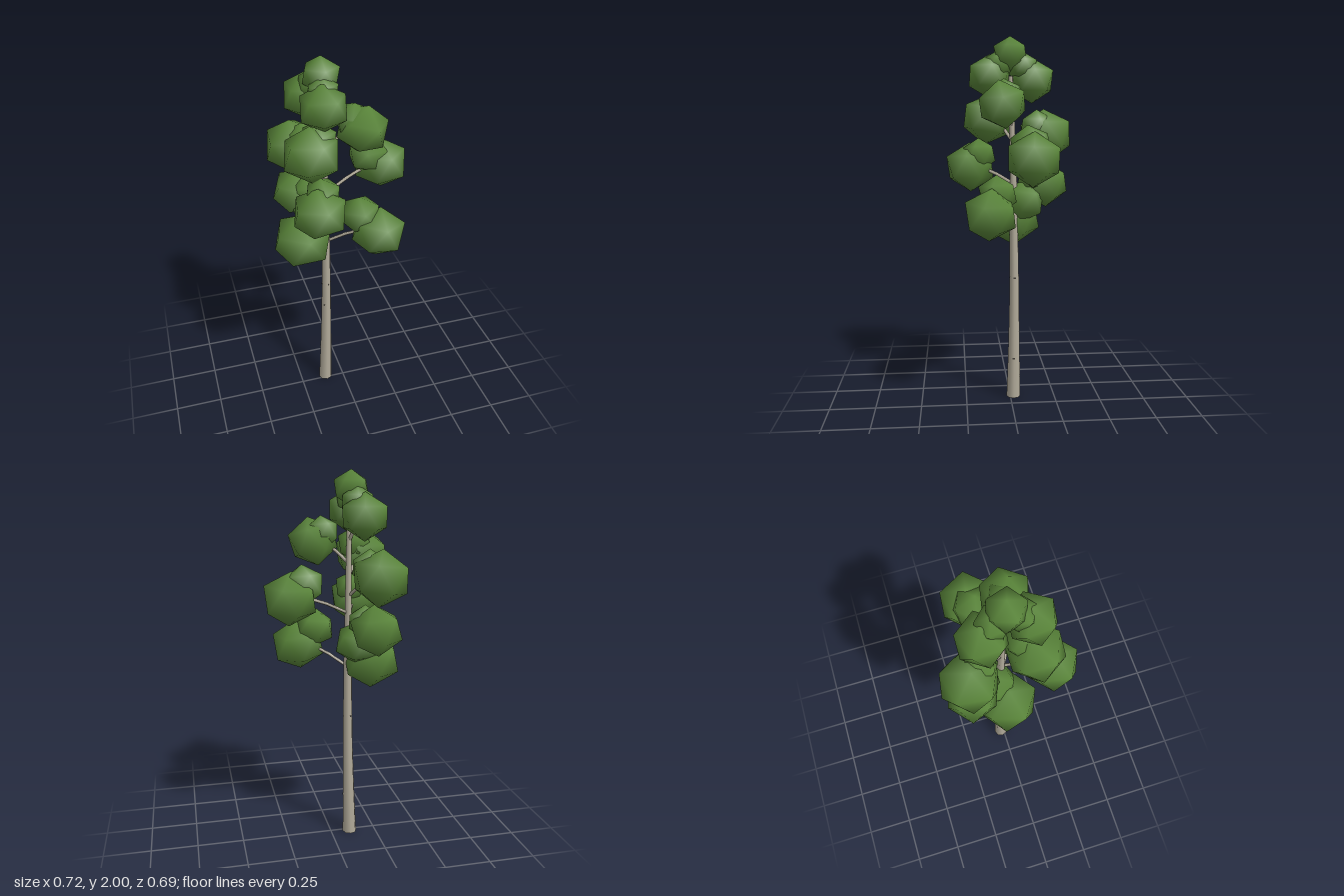
import * as THREE from 'three';

// Trunk as [height, x, z, radius]
const TRUNK = [
  [0, -0.105, -0.018, 0.039], [0.25, -0.098, -0.02, 0.033], [0.5, -0.092, -0.021, 0.028],
  [0.75, -0.089, -0.021, 0.025], [1.0, -0.088, -0.018, 0.022], [1.25, -0.09, -0.016, 0.019],
  [1.5, -0.092, -0.01, 0.016], [1.79, -0.095, -0.002, 0.011],
];

function trunkAt(y) {
  let i = 0;
  while (i < TRUNK.length - 2 && y > TRUNK[i + 1][0]) i++;
  const a = TRUNK[i], b = TRUNK[i + 1];
  const t = (y - a[0]) / (b[0] - a[0]);
  return a.map((v, k) => v + (b[k] - v) * t);
}

// Clump at the top of the trunk as [x, y, z, radius, tilt]
const CROWN = [-0.105, 1.905, 0, 0.088, 0];

// Each branch: height on the trunk, outer clump, smaller inner clump
const BRANCHES = [
  [0.98, [0.155, 1.085, 0.122, 0.132, -0.1], [0.07, 1.18, 0.08, 0.097, 0.1]],
  [0.95, [-0.215, 1.015, -0.02, 0.148, 0.05], [-0.13, 1.12, -0.07, 0.112, -0.1]],
  [1.1, [-0.192, 1.21, -0.195, 0.127, 0.1], [-0.15, 1.245, -0.13, 0.085, 0]],
  [1.22, [-0.18, 1.305, 0.215, 0.128, -0.1], [-0.15, 1.375, 0.165, 0.085, 0.1]],
  [1.27, [0.23, 1.37, -0.09, 0.133, 0.1], [0.16, 1.435, -0.08, 0.1, 0.1]],
  [1.36, [-0.208, 1.475, -0.205, 0.139, 0.1], [-0.165, 1.525, -0.15, 0.088, 0]],
  [1.45, [-0.19, 1.565, 0.115, 0.133, -0.1], [-0.145, 1.62, 0.075, 0.088, 0]],
  [1.53, [0.083, 1.64, 0.055, 0.12, 0.2], [0.04, 1.685, 0.035, 0.083, 0.1]],
  [1.64, [-0.145, 1.77, -0.12, 0.115, 0], [-0.12, 1.84, -0.065, 0.078, 0]],
  [1.67, [-0.125, 1.79, 0.11, 0.11, 0.05], [-0.115, 1.85, 0.06, 0.074, 0]],
];

// Bark marks as [height, angle around the trunk, width]
const MARKS = [
  [0.235, 1.5, 0.4], [0.235, 4.4, 0.4], [0.56, -0.7, 0.3], [0.7, 1.6, 0.5],
  [0.7, -1.5, 0.5], [0.705, 3.6, 0.4], [0.7, 0.2, 0.3],
];

export function createModel() {
  const bark = new THREE.MeshStandardMaterial({ color: 0xb4ad9c });
  bark.name = 'pale bark';
  const dark = new THREE.MeshStandardMaterial({ color: 0x45413a });
  dark.name = 'dark bark';
  const leaf = new THREE.MeshStandardMaterial({ color: 0x5a863a });
  leaf.name = 'leaf green';

  const tree = new THREE.Group();
  tree.name = 'tree';
  const add = (geometry, material, name) => {
    const mesh = new THREE.Mesh(geometry, material);
    mesh.name = name;
    tree.add(mesh);
    return mesh;
  };

  // Tapering, slightly bent trunk
  const trunk = new THREE.CylinderGeometry(1, 1, 1.79, 8, 14);
  trunk.translate(0, 0.895, 0);
  const pos = trunk.attributes.position;
  for (let i = 0; i < pos.count; i++) {
    const [, x, z, r] = trunkAt(pos.getY(i));
    pos.setX(i, x + pos.getX(i) * r);
    pos.setZ(i, z + pos.getZ(i) * r);
  }
  add(trunk, bark, 'trunk');

  // Small dark marks wrapped on the bark
  for (const [y, angle, width] of MARKS) {
    const [, x, z, r] = trunkAt(y);
    const mark = new THREE.CylinderGeometry(r + 0.001, r + 0.001, 0.007, 3, 1, false, angle - width / 2, width);
    add(mark, dark, 'barkMark').position.set(x, y, z);
  }

  // Twenty-sided leaf ball with a corner pointing up and smooth normals
  const ball = new THREE.IcosahedronGeometry(1, 0);
  ball.rotateX(-Math.atan((1 + Math.sqrt(5)) / 2));
  ball.setAttribute('normal', ball.attributes.position.clone());
  const addClump = ([x, y, z, r, tilt], turn) => {
    const clump = add(ball, leaf, 'leafClump');
    clump.scale.set(r * 1.12, r * 1.05, r * 1.12);
    clump.rotation.set(tilt * 0.5, turn, tilt);
    clump.position.set(x, y, z);
  };
  addClump(CROWN, 0);

  // Branches rise from the trunk and level out into a pair of clumps
  BRANCHES.forEach(([y, outer, inner], i) => {
    const [, x, z] = trunkAt(y);
    const start = new THREE.Vector3(x, y, z);
    const end = new THREE.Vector3(...outer);
    const bend = start.clone().lerp(end, 0.55);
    bend.y = start.y + (end.y - start.y) * 0.8;
    const path = new THREE.CatmullRomCurve3([start, bend, end]);
    add(new THREE.TubeGeometry(path, 5, 0.009, 5), bark, 'branch');
    addClump(outer, i * 1.3);
    addClump(inner, i * 2.1);
  });

  return tree;
}
